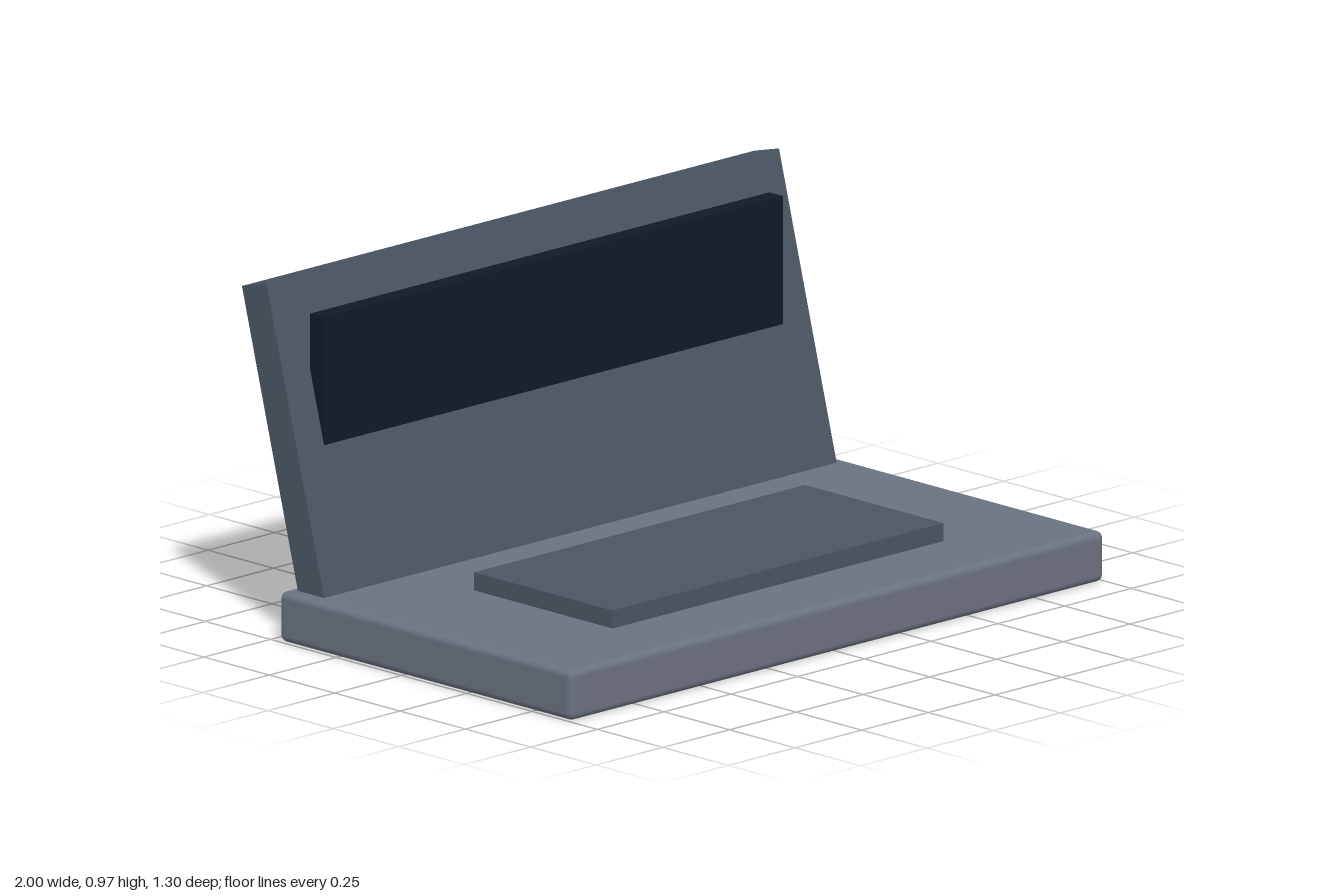
import * as THREE from 'three';
import { RoundedBoxGeometry } from 'three/addons/geometries/RoundedBoxGeometry.js';

export function createModel() {
  const model = new THREE.Group();
  const slate = new THREE.MeshStandardMaterial({ color: 0x4b5563 });
  const grey = new THREE.MeshStandardMaterial({ color: 0x6b7280 });
  const dark = new THREE.MeshStandardMaterial({ color: 0x111827 });

  const add = (name, geometry, material, x, y, z) => {
    const mesh = new THREE.Mesh(geometry, material);
    mesh.name = name;
    mesh.position.set(x, y, z);
    model.add(mesh);
    return mesh;
  };

  // Base slab with softened edges
  add('base', new RoundedBoxGeometry(2, 0.14, 1.12, 4, 0.02), grey, 0, 0.07, 0.09);

  // Raised keyboard plate
  add('keyboard', new THREE.BoxGeometry(1.24, 0.06, 0.53), slate, 0, 0.16, 0.155);

  // Lid leaning back, its foot sunk into the base
  const lid = add('lid', new THREE.BoxGeometry(1.92, 0.9, 0.097), slate, 0, 0.522, -0.488);
  lid.rotation.x = -0.26;

  // Upright screen panel passing through the lid
  add('screen', new THREE.BoxGeometry(1.72, 0.77, 0.053), dark, 0, 0.495, -0.465);

  return model;
}
